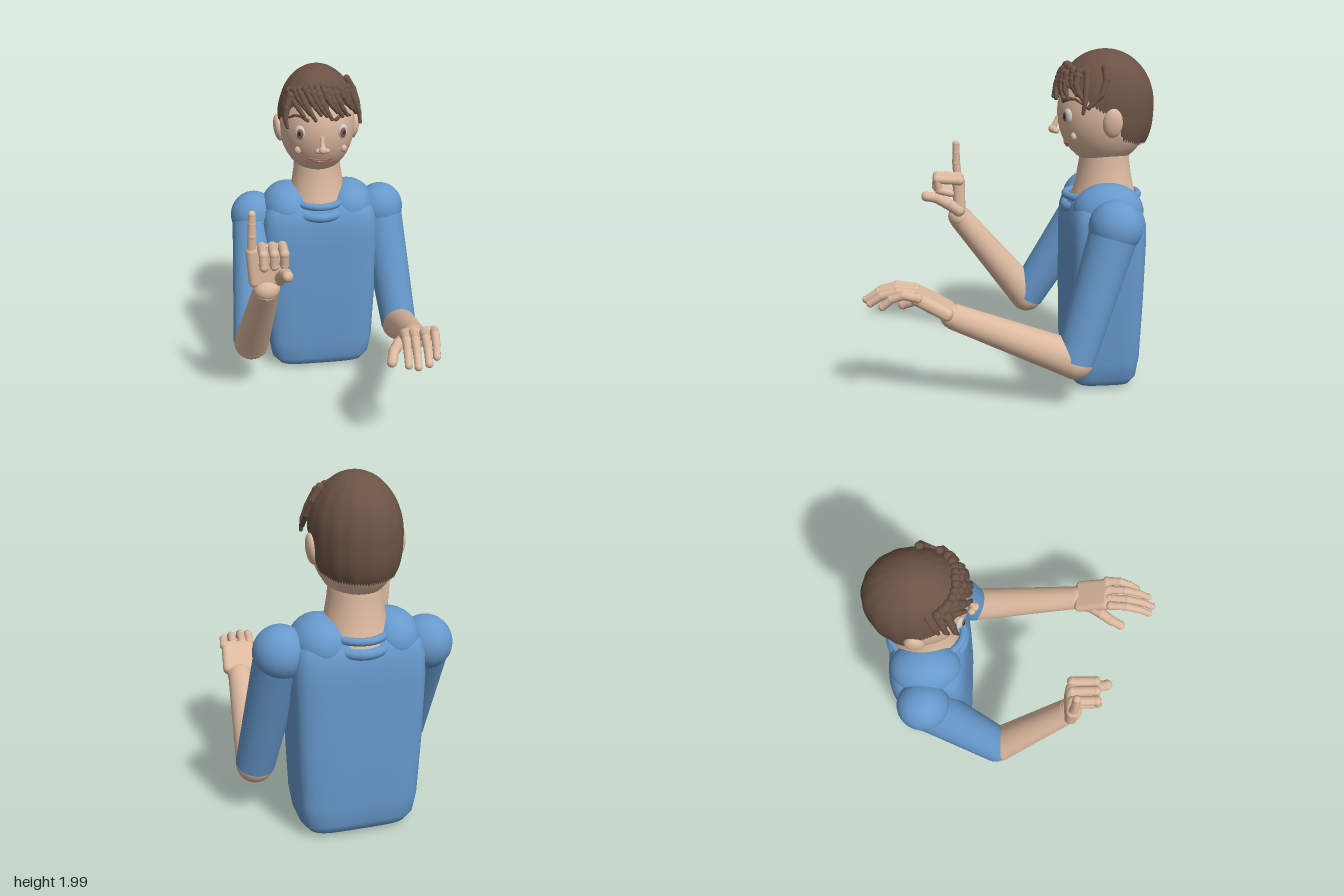
import * as THREE from 'three';
import { mergeGeometries, mergeVertices } from 'three/addons/utils/BufferGeometryUtils.js';
import { RoundedBoxGeometry } from 'three/addons/geometries/RoundedBoxGeometry.js';

const mat = (color) => new THREE.MeshStandardMaterial({ color, side: THREE.DoubleSide });
const V = (p) => new THREE.Vector3(...p);

export function createModel() {
  const model = new THREE.Group();
  model.name = 'bust';
  const skin = mat(0xdcb99f), shirt = mat(0x6699cc), hair = mat(0x6b5344);
  const white = mat(0xe4e4e4), brown = mat(0x8a5f45), dark = mat(0x2a2220), lip = mat(0xb0705c);

  const add = (name, geo, material, parent = model) => {
    const mesh = new THREE.Mesh(geo, material);
    mesh.name = name;
    parent.add(mesh);
    return mesh;
  };
  const ball = (name, p, r, material, parent) => {
    const m = add(name, new THREE.SphereGeometry(1, 32, 20), material, parent);
    m.position.set(...p);
    m.scale.set(...r);
    return m;
  };
  // Tapered cylinder between two points
  const rod = (a, b, ra, rb, sides = 14, open = true) => {
    const d = V(b).sub(V(a));
    const g = new THREE.CylinderGeometry(rb, ra, d.length(), sides, 1, open);
    g.applyQuaternion(new THREE.Quaternion().setFromUnitVectors(new THREE.Vector3(0, 1, 0), d.clone().normalize()));
    return g.translate(...V(a).addScaledVector(d, 0.5).toArray());
  };
  // Chain of tapered rods with round joints: fingers, hair locks, lips
  const chain = (pts, r0, r1, bulge = 1.06, sides = 14) => {
    const n = pts.length - 1, parts = [];
    const rad = (i) => r0 + (r1 - r0) * i / n;
    pts.forEach((p, i) => {
      parts.push(new THREE.SphereGeometry(rad(i) * bulge, sides, 8).translate(...p));
      if (i < n) parts.push(rod(p, pts[i + 1], rad(i), rad(i + 1), sides));
    });
    return mergeGeometries(parts);
  };

  // Torso: lofted rounded-rectangle sections [y, half width, half depth]
  const sections = [[0.008, 0.001, 0.001], [0.01, 0.22, 0.13], [0.03, 0.285, 0.18], [0.08, 0.325, 0.205],
    [0.2, 0.345, 0.22], [0.55, 0.362, 0.227], [0.9, 0.37, 0.23], [1.03, 0.365, 0.225],
    [1.1, 0.345, 0.205], [1.15, 0.3, 0.17], [1.17, 0.22, 0.12], [1.172, 0.001, 0.001]];
  const N = 64, pos = [], idx = [];
  sections.forEach(([y, w, d], j) => {
    for (let i = 0; i < N; i++) {
      const a = i / N * Math.PI * 2, c = Math.cos(a), s = Math.sin(a), e = 0.42;
      pos.push(-0.02 + w * Math.sign(c) * Math.abs(c) ** e, y, -0.56 + d * Math.sign(s) * Math.abs(s) ** e);
      if (j) {
        const k = (i + 1) % N, A = (j - 1) * N, B = j * N;
        idx.push(A + i, B + i, A + k, A + k, B + i, B + k);
      }
    }
  });
  const torso = new THREE.BufferGeometry();
  torso.setAttribute('position', new THREE.Float32BufferAttribute(pos, 3));
  torso.setIndex(idx);
  torso.computeVertexNormals();
  add('torso', torso, shirt);
  for (const s of [-1, 1]) ball('shoulderYoke', [-0.02 + s * 0.195, 1.095, -0.565], [0.165, 0.16, 0.205], shirt);

  // Collar rings
  const ring = (name, y, rx, rz, tube, sag) => {
    const pts = [];
    for (let i = 0; i < 40; i++) {
      const a = i / 40 * Math.PI * 2;
      pts.push(new THREE.Vector3(-0.02 + rx * Math.cos(a), y - sag * Math.abs(Math.sin(a)), -0.56 + rz * Math.sin(a)));
    }
    add(name, new THREE.TubeGeometry(new THREE.CatmullRomCurve3(pts, true), 80, tube, 12, true), shirt);
  };
  ring('upperCollar', 1.15, 0.165, 0.215, 0.022, 0);
  ring('lowerCollar', 1.13, 0.19, 0.215, 0.03, 0.05);

  // Neck, flaring into the shirt
  add('neck', new THREE.LatheGeometry([[0.205, 1.1], [0.18, 1.18], [0.162, 1.26], [0.148, 1.35], [0.14, 1.5]]
    .map((p) => new THREE.Vector2(...p)), 40), skin).position.set(-0.02, 0, -0.57);

  // Head and face
  const C = [-0.022, 1.64, -0.56], R = [0.235, 0.31, 0.272];
  const faceZ = (x, y, lift = 0) => C[2] + lift + R[2] *
    Math.sqrt(Math.max(0, 1 - ((x - C[0]) / R[0]) ** 2 - ((y - C[1]) / R[1]) ** 2));
  const onFace = (dx, y, lift) => [C[0] + dx, y, faceZ(C[0] + dx, y, lift)];
  ball('head', C, R, skin);
  for (const s of [-1, 1]) {
    ball('ear', [C[0] + s * 0.235, 1.61, -0.57], [0.033, 0.085, 0.056], skin).rotation.z = -s * 0.12;
    const eye = new THREE.Group();
    eye.name = 'eye';
    eye.position.set(...onFace(s * 0.13, 1.636, 0.002));
    eye.rotation.y = s * 0.5;
    model.add(eye);
    ball('eyeWhite', [0, 0, 0], [0.034, 0.044, 0.018], white, eye);
    ball('iris', [-s * 0.006, -0.002, 0.011], [0.021, 0.03, 0.011], brown, eye);
    ball('pupil', [-s * 0.006, -0.002, 0.019], [0.009, 0.014, 0.005], dark, eye);
    ball('cheek', onFace(s * 0.14, 1.52, 0.004), [0.02, 0.024, 0.018], skin);
    add('eyebrow', chain([[0.085, 1.715], [0.12, 1.735], [0.155, 1.735], [0.185, 1.715]]
      .map(([x, y]) => onFace(s * x, y, 0.004)), 0.011, 0.007, 1, 8), hair);
    ball('nostril', [C[0] + s * 0.026, 1.533, -0.279], [0.018, 0.016, 0.02], skin);
  }
  add('noseBridge', chain([onFace(0, 1.61, 0), [C[0], 1.57, -0.277], [C[0], 1.543, -0.265]], 0.01, 0.02), skin);
  ball('noseTip', [C[0], 1.541, -0.264], [0.025, 0.024, 0.026], skin);
  const smile = (y, bend) => [-1, -0.67, -0.33, 0, 0.33, 0.67, 1].map((t) => onFace(t * 0.068, y + bend * t * t, 0.003));
  add('upperLip', chain(smile(1.458, 0.012), 0.006, 0.006, 1.1, 8), lip);
  add('teeth', chain(smile(1.451, 0.018), 0.006, 0.004, 1.1, 8), white);
  add('lowerLip', chain(smile(1.442, 0.028), 0.007, 0.006, 1.1, 8), lip);

  // Hair cap: a sphere whose lower rim follows the hairline around the head
  const line = [[0, 1.8], [0.8, 1.78], [1.3, 1.68], [1.65, 1.63], [1.85, 1.5], [2.3, 1.465], [3.15, 1.455]];
  const hairline = (a) => {
    const i = Math.max(1, line.findIndex((p) => p[0] >= a));
    const [a0, y0] = line[i - 1], [a1, y1] = line[i];
    return y0 + (y1 - y0) * (a - a0) / (a1 - a0);
  };
  let cap = new THREE.SphereGeometry(1, 96, 32);
  const p = cap.attributes.position, uv = cap.attributes.uv;
  for (let i = 0; i < p.count; i++) {
    const u = uv.getX(i) * Math.PI * 2, v = 1 - uv.getY(i);
    const sx = -Math.cos(u), sz = Math.sin(u);
    const low = (hairline(Math.atan2(Math.abs(sx), sz)) - 1.68) / 0.32;
    const c = Math.cos(v * Math.acos(low)), e = c < 0 ? 2.7 : 2;
    const r = (1 - Math.abs(c) ** e) ** (1 / e) * (1 + 0.008 * Math.cos(u * 16));
    p.setXYZ(i, -0.02 + 0.243 * r * sx, 1.68 + 0.32 * c, -0.56 + 0.288 * r * sz);
  }
  cap.deleteAttribute('uv');
  cap.deleteAttribute('normal');
  cap = mergeVertices(cap, 1e-5);
  cap.computeVertexNormals();
  add('hairCap', cap, hair);

  // Fringe locks swept sideways over the forehead, in two overlapping rows
  const lock = (x0, y0, x1, y1, r) => {
    const pts = [0, 0.33, 0.67, 1].map((t) => {
      const x = x0 + (x1 - x0) * t ** 1.3, y = y0 + (y1 - y0) * t;
      const k = 1 - ((x + 0.02) / 0.255) ** 2 - ((y - 1.68) / 0.335) ** 2;
      return [x, y, -0.555 + 0.292 * Math.sqrt(Math.max(0.02, k))];
    });
    add('fringeLock', chain(pts, r, r * 0.45, 1.1, 10), hair);
  };
  for (let i = 0; i < 11; i++) {
    const x = -0.2 + i * 0.033, wob = 0.02 * Math.sin(i * 2.3);
    lock(x, 1.87 + wob * 0.5, x + 0.07, 1.745 + wob, 0.024);
    if (i < 10) lock(x + 0.02, 1.91 - Math.abs(i - 5) * 0.006, x + 0.075, 1.8 - wob, 0.022);
  }
  // Side locks
  add('sideLock', chain([[0.16, 1.91, -0.53], [0.2, 1.85, -0.53], [0.225, 1.77, -0.5], [0.225, 1.7, -0.43]], 0.022, 0.012), hair);
  add('sideLock', chain([[0.15, 1.88, -0.43], [0.195, 1.8, -0.42], [0.22, 1.73, -0.41], [0.225, 1.67, -0.4]], 0.022, 0.01), hair);
  for (const z of [-0.48, -0.43, -0.38]) {
    add('sideLock', chain([[-0.2, 1.85, z], [-0.225, 1.78, z + 0.02], [-0.235, 1.72, z + 0.03], [-0.225, 1.67, z + 0.04]], 0.024, 0.01), hair);
  }

  // Arms: sleeve, bare elbow, forearm, wrist
  const arm = (side, shoulder, elbow, wrist) => {
    const g = new THREE.Group();
    g.name = side + 'Arm';
    model.add(g);
    ball('shoulder', shoulder, [0.148, 0.152, 0.152], shirt, g);
    add('sleeve', rod(shoulder, elbow, 0.138, 0.113, 36), shirt, g);
    ball('elbow', elbow, [0.11, 0.11, 0.11], skin, g);
    add('forearm', rod(elbow, wrist, 0.109, 0.073, 36, false), skin, g);
    ball('wrist', wrist, [0.077, 0.068, 0.07], skin, g);
    return g;
  };
  const palm = (parent, size, at, rot) => {
    const m = add('palm', new RoundedBoxGeometry(...size, 5, 0.034), skin, parent);
    m.position.set(...at);
    m.rotation.set(...rot);
  };
  const finger = (parent, name, pts, r = 0.027) => add(name, chain(pts, r, r * 0.78), skin, parent);

  // Left arm reaches forward with an open hand
  const left = arm('left', [0.388, 1.06, -0.57], [0.488, 0.31, -0.34], [0.43, 0.575, 0.345]);
  palm(left, [0.205, 0.075, 0.25], [0.415, 0.65, 0.45], [-0.5, -0.12, 0]);
  [[0.32, 0.29, 0.8], [0.37, 0.337, 0.825], [0.43, 0.402, 0.8], [0.49, 0.462, 0.73]].forEach(([x0, x1, z1], i) => {
    const z0 = 0.55 - i * 0.005, at = (t, y) => [x0 + (x1 - x0) * t, y, z0 + (z1 - z0) * t];
    finger(left, 'finger', [at(0, 0.71), at(0.4, 0.725), at(0.75, 0.7), at(1, 0.655)]);
  });
  finger(left, 'thumb', [[0.35, 0.62, 0.43], [0.3, 0.625, 0.5], [0.26, 0.61, 0.56], [0.237, 0.58, 0.625]], 0.036);

  // Right arm is raised with one finger pointing up
  const right = arm('right', [-0.428, 1.04, -0.575], [-0.494, 0.34, -0.165], [-0.42, 0.91, 0.275]);
  palm(right, [0.2, 0.25, 0.075], [-0.425, 1.055, 0.275], [0, 0, 0.06]);
  finger(right, 'pointingFinger', [[-0.495, 1.16, 0.28], [-0.492, 1.24, 0.287], [-0.49, 1.31, 0.287], [-0.488, 1.365, 0.287]]);
  [-0.44, -0.382, -0.326].forEach((x, i) => {
    finger(right, 'curledFinger', [[x, 1.165, 0.275], [x, 1.175, 0.41], [x, 1.105, 0.42 - i * 0.01], [x, 1.085, 0.33]], 0.028);
  });
  finger(right, 'thumb', [[-0.345, 0.97, 0.28], [-0.33, 1.02, 0.35], [-0.325, 1.06, 0.42], [-0.318, 1.072, 0.48]], 0.038);

  return model;
}
